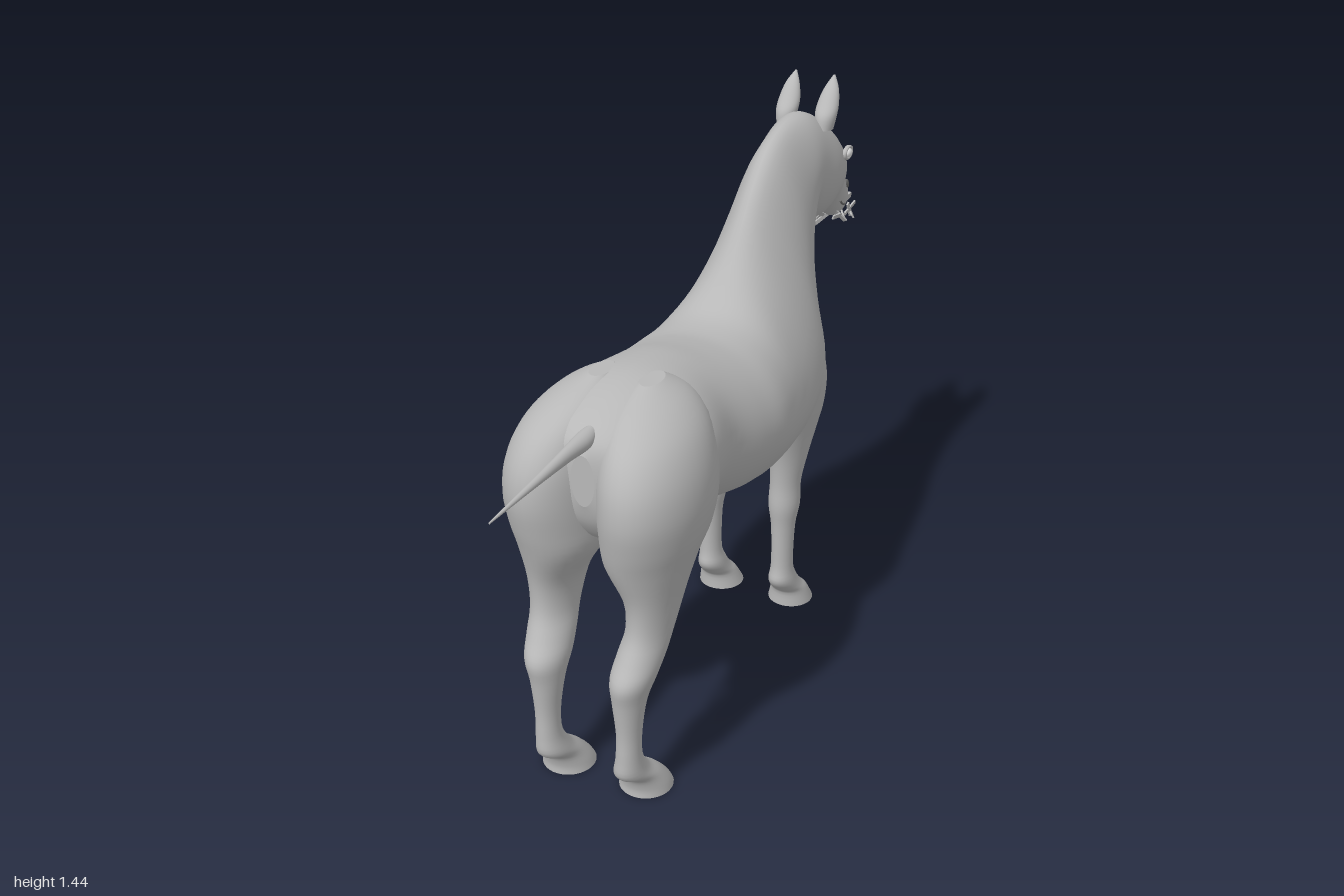
import * as THREE from 'three';

const coat = new THREE.MeshStandardMaterial({ color: 0xb8b8b8 });
coat.name = 'coat grey';
const pale = new THREE.MeshStandardMaterial({ color: 0xf0f0f0 });
pale.name = 'eye white';
const dark = new THREE.MeshStandardMaterial({ color: 0x6a6a6a });
dark.name = 'dark grey';

const SIDES = 36;

// Smoothly interpolates rows of section numbers
function refine(rows, steps) {
  const out = [];
  const at = i => rows[Math.max(0, Math.min(rows.length - 1, i))];
  for (let i = 0; i < rows.length - 1; i++) {
    for (let s = 0; s < steps; s++) {
      const t = s / steps;
      out.push(rows[i].map((b, c) => {
        const a = at(i - 1)[c], d = at(i + 1)[c], e = at(i + 2)[c];
        return b + 0.5 * t * (d - a + t * (2 * a - 5 * b + 4 * d - e + t * (3 * (b - d) + e - a)));
      }));
    }
  }
  out.push(rows[rows.length - 1]);
  return out;
}

// Skins rings of points and closes both ends with crisp caps
function loft(rows, ringPoint, steps = 4) {
  const pos = [], index = [];
  const rings = refine(rows, steps).map(row =>
    Array.from({ length: SIDES }, (_, j) => ringPoint(row, (j / SIDES) * Math.PI * 2)));
  rings.forEach(r => r.forEach(p => pos.push(...p)));
  for (let i = 0; i < rings.length - 1; i++) {
    for (let j = 0; j < SIDES; j++) {
      const k = (j + 1) % SIDES, a = i * SIDES, b = a + SIDES;
      index.push(a + j, b + j, a + k, a + k, b + j, b + k);
    }
  }
  [rings[0], rings[rings.length - 1]].forEach((ring, end) => {
    const base = pos.length / 3;
    ring.forEach(p => pos.push(...p));
    pos.push(...[0, 1, 2].map(c => ring.reduce((sum, p) => sum + p[c], 0) / SIDES));
    for (let j = 0; j < SIDES; j++) {
      const k = (j + 1) % SIDES;
      if (end) index.push(base + j, base + SIDES, base + k);
      else index.push(base + j, base + k, base + SIDES);
    }
  });
  // Turn the surface outward when its enclosed volume is negative
  let volume = 0;
  const v = i => new THREE.Vector3().fromArray(pos, index[i] * 3);
  for (let i = 0; i < index.length; i += 3) volume += v(i).dot(v(i + 1).cross(v(i + 2)));
  if (volume < 0) index.reverse();
  const g = new THREE.BufferGeometry();
  g.setAttribute('position', new THREE.Float32BufferAttribute(pos, 3));
  g.setIndex(index);
  g.computeVertexNormals();
  return g;
}

// Section across the middle plane: [topZ, topY, bottomZ, bottomY, halfWidth, topTaper]
function spineRing([tz, ty, bz, by, w, k], a) {
  const c = Math.cos(a), s = Math.sin(a);
  return [w * s * (1 - k * c), (ty + by) / 2 + (ty - by) / 2 * c, (tz + bz) / 2 + (tz - bz) / 2 * c];
}

// Level section of a limb: [y, backZ, frontZ, innerX, outerX]
function limbRing(side, cup = 0) {
  return ([y, zb, zf, xi, xo], a) => {
    const c = Math.cos(a);
    const depth = c < 0 ? c * (1 + 1.6 * cup * c) : c;
    return [side * ((xi + xo) / 2 + (xo - xi) / 2 * Math.sin(a)), y, (zb + zf) / 2 + (zb - zf) / 2 * depth];
  };
}

const spine = [
  [0.61, 0.93, 0.61, 0.80, 0.03, 0],
  [0.59, 0.965, 0.59, 0.74, 0.12, 0],
  [0.54, 1.0, 0.54, 0.68, 0.175, 0],
  [0.45, 1.03, 0.45, 0.65, 0.215, 0],
  [0.35, 1.04, 0.35, 0.645, 0.22, 0],
  [0.22, 1.025, 0.23, 0.61, 0.205, 0],
  [0.10, 0.995, 0.10, 0.57, 0.23, 0],
  [0.0, 0.98, 0.0, 0.55, 0.243, 0],
  [-0.10, 1.0, -0.14, 0.54, 0.23, 0.12],
  [-0.19, 1.08, -0.31, 0.555, 0.205, 0.35],
  [-0.27, 1.18, -0.455, 0.60, 0.175, 0.45],
  [-0.33, 1.25, -0.50, 0.76, 0.135, 0.4],
  [-0.41, 1.32, -0.53, 0.89, 0.108, 0.3],
  [-0.50, 1.355, -0.565, 1.0, 0.092, 0.25],
  [-0.59, 1.366, -0.60, 1.08, 0.088, 0.12],
  [-0.66, 1.355, -0.635, 1.055, 0.09, 0],
  [-0.74, 1.31, -0.70, 1.038, 0.097, -0.05],
  [-0.80, 1.25, -0.77, 1.04, 0.085, -0.2],
  [-0.86, 1.187, -0.82, 1.02, 0.06, -0.1],
  [-0.92, 1.125, -0.865, 0.995, 0.046, 0],
  [-0.95, 1.08, -0.895, 0.98, 0.043, 0],
  [-0.957, 1.04, -0.925, 0.985, 0.028, 0],
  [-0.95, 1.02, -0.938, 1.0, 0.006, 0],
];

const hindLeg = [
  [1.035, 0.43, 0.34, 0.04, 0.09],
  [1.0, 0.535, 0.29, 0.012, 0.155],
  [0.95, 0.615, 0.27, 0.002, 0.205],
  [0.88, 0.66, 0.27, -0.002, 0.235],
  [0.80, 0.672, 0.275, -0.002, 0.245],
  [0.72, 0.66, 0.295, 0.0, 0.236],
  [0.65, 0.642, 0.345, 0.012, 0.215],
  [0.56, 0.617, 0.395, 0.062, 0.192],
  [0.48, 0.617, 0.445, 0.074, 0.18],
  [0.42, 0.645, 0.49, 0.066, 0.175],
  [0.37, 0.675, 0.525, 0.062, 0.166],
  [0.31, 0.668, 0.565, 0.07, 0.15],
  [0.22, 0.66, 0.585, 0.08, 0.14],
  [0.15, 0.662, 0.585, 0.078, 0.14],
  [0.10, 0.66, 0.555, 0.066, 0.146],
  [0.065, 0.615, 0.515, 0.058, 0.158],
  [0.03, 0.60, 0.482, 0.046, 0.17],
  [0.005, 0.60, 0.465, 0.04, 0.175],
];

const foreLeg = [
  [0.92, -0.24, -0.36, 0.05, 0.14],
  [0.84, -0.20, -0.43, 0.03, 0.19],
  [0.74, -0.20, -0.475, 0.02, 0.203],
  [0.65, -0.225, -0.48, 0.035, 0.195],
  [0.58, -0.25, -0.455, 0.055, 0.18],
  [0.50, -0.27, -0.41, 0.065, 0.165],
  [0.42, -0.278, -0.378, 0.07, 0.153],
  [0.35, -0.275, -0.376, 0.068, 0.153],
  [0.28, -0.282, -0.36, 0.078, 0.143],
  [0.16, -0.285, -0.357, 0.08, 0.14],
  [0.11, -0.278, -0.378, 0.072, 0.146],
  [0.075, -0.305, -0.402, 0.066, 0.153],
  [0.05, -0.33, -0.427, 0.058, 0.162],
  [0.005, -0.332, -0.458, 0.045, 0.172],
];

const ear = [
  [1.31, -0.65, -0.715, 0.035, 0.08],
  [1.345, -0.655, -0.725, 0.027, 0.086],
  [1.375, -0.678, -0.735, 0.027, 0.085],
  [1.41, -0.708, -0.744, 0.037, 0.076],
  [1.44, -0.742, -0.75, 0.053, 0.058],
];

export function createModel() {
  const model = new THREE.Group();
  const add = (name, geometry, material = coat) => {
    const mesh = new THREE.Mesh(geometry, material);
    mesh.name = name;
    model.add(mesh);
    return mesh;
  };

  // Trunk, neck and head in one skin
  add('body', loft(spine, spineRing, 5));

  for (const side of [1, -1]) {
    const label = side > 0 ? 'left' : 'right';
    add(label + 'HindLeg', loft(hindLeg, limbRing(side)));
    add(label + 'ForeLeg', loft(foreLeg, limbRing(side)));
    add(label + 'Ear', loft(ear, limbRing(side, 0.8)));

    // Almond eye with a lid rim
    const eye = add(label + 'Eye', new THREE.SphereGeometry(1, 20, 12), pale);
    eye.scale.set(0.012, 0.013, 0.024);
    eye.position.set(side * 0.09, 1.217, -0.775);
    const lid = add(label + 'Eyelid', new THREE.TorusGeometry(0.025, 0.007, 8, 24));
    lid.scale.set(1, 0.62, 1);
    lid.rotation.y = Math.PI / 2;
    lid.position.set(side * 0.091, 1.218, -0.775);

    // Nostril and mouth line
    const nostril = add(label + 'Nostril', new THREE.SphereGeometry(1, 12, 8), dark);
    nostril.scale.set(0.006, 0.016, 0.009);
    nostril.rotation.x = 0.5;
    nostril.position.set(side * 0.041, 1.075, -0.917);
    const lip = new THREE.CatmullRomCurve3([
      new THREE.Vector3(side * 0.053, 1.052, -0.835),
      new THREE.Vector3(side * 0.047, 1.03, -0.87),
      new THREE.Vector3(side * 0.041, 1.018, -0.905),
      new THREE.Vector3(side * 0.022, 1.01, -0.938),
    ]);
    add(label + 'MouthLine', new THREE.TubeGeometry(lip, 12, 0.003, 6), dark);
  }

  // Thin pointed tail held straight back
  add('tail', loft([
    [0.55, 0.985, 0.55, 0.955, 0.014, 0],
    [0.60, 0.985, 0.60, 0.942, 0.022, 0],
    [0.68, 0.982, 0.68, 0.948, 0.015, 0],
    [0.82, 0.975, 0.82, 0.957, 0.009, 0],
    [1.0, 0.969, 1.0, 0.965, 0.002, 0],
  ], spineRing));

  // Tuft of straw held in the lips
  let seed = 11;
  const rnd = () => (seed = (seed * 16807) % 2147483647) / 2147483647;
  const straw = new THREE.Group();
  straw.name = 'straw';
  for (let i = 0; i < 18; i++) {
    const side = i % 3 === 0 ? 1 : -1;
    const length = 0.04 + 0.025 * rnd();
    const stalk = new THREE.Mesh(new THREE.BoxGeometry(0.012, length, 0.005), coat);
    stalk.name = 'stalk';
    stalk.position.set(side * (0.015 + 0.035 * rnd()), 0.975 + 0.045 * rnd(), -0.87 - 0.075 * rnd());
    stalk.rotation.set(rnd() * 2 - 1, rnd() * 3, side * (0.3 + rnd()));
    straw.add(stalk);
  }
  const tip = new THREE.Mesh(new THREE.BoxGeometry(0.012, 0.015, 0.08), coat);
  tip.name = 'longStalk';
  tip.position.set(0.02, 1.012, -0.96);
  straw.add(tip);
  model.add(straw);

  return model;
}
